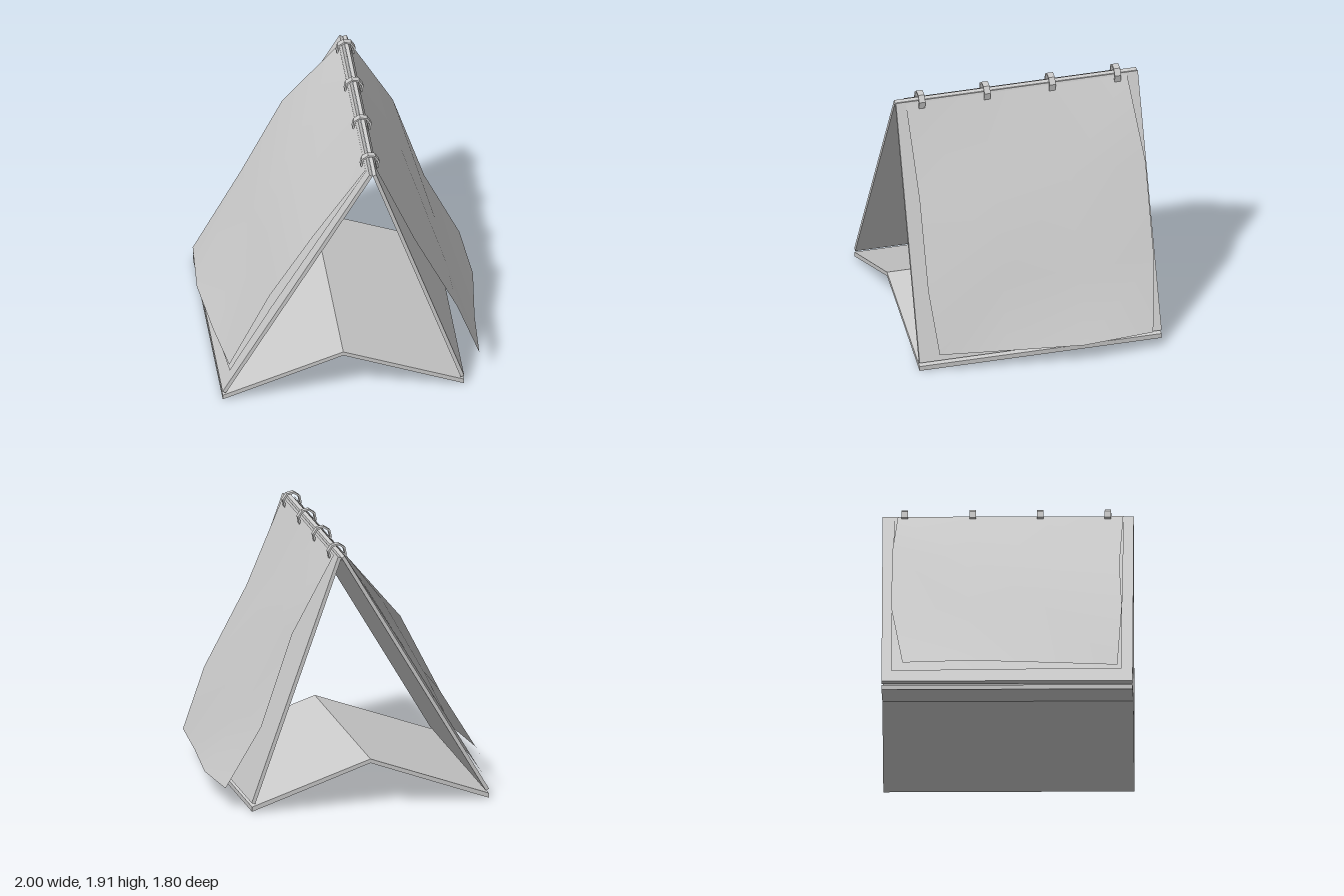
import * as THREE from 'three';

const mat = new THREE.MeshStandardMaterial({ color: 0xcccccc });
const paper = new THREE.MeshStandardMaterial({ color: 0xcccccc, side: THREE.DoubleSide });
const HALF = 0.9; // half the depth of the stand

// Extrude an outline along z, centred on the given z
function slab(name, shape, depth, z = 0) {
  const geo = new THREE.ExtrudeGeometry(shape, { depth, bevelEnabled: false });
  geo.translate(0, 0, z - depth / 2);
  const mesh = new THREE.Mesh(geo, mat);
  mesh.name = name;
  return mesh;
}

const outline = (pts) => new THREE.Shape(pts.map(([x, y]) => new THREE.Vector2(x, y)));

// Straight board between two points of the side profile
function board(name, [ax, ay], [bx, by], t) {
  const len = Math.hypot(bx - ax, by - ay);
  const nx = (-(by - ay) / len) * (t / 2), ny = ((bx - ax) / len) * (t / 2);
  return slab(name, outline([
    [ax - nx, ay - ny], [bx - nx, by - ny], [bx + nx, by + ny], [ax + nx, ay + ny],
  ]), HALF * 2);
}

// Loose page: a 4 x 4 grid between its front and back edges, with a curled lower edge
function page(name, front, back, bottom, flip) {
  const pos = [], index = [];
  for (let r = 0; r < 4; r++) {
    for (let c = 0; c < 4; c++) {
      const p = new THREE.Vector3(...front[r]).lerp(new THREE.Vector3(...back[r]), c / 3);
      if (r === 3 && (c === 1 || c === 2)) p.set(...bottom[c - 1]);
      pos.push(p.x, p.y, p.z);
      if (r < 3 && c < 3) {
        const a = r * 4 + c, b = a + 1, d = a + 4, e = a + 5;
        index.push(...(flip ? [a, b, d, b, e, d] : [a, d, b, b, d, e]));
      }
    }
  }
  const geo = new THREE.BufferGeometry();
  geo.setAttribute('position', new THREE.Float32BufferAttribute(pos, 3));
  geo.setIndex(index);
  geo.computeVertexNormals();
  const mesh = new THREE.Mesh(geo, paper);
  mesh.name = name;
  return mesh;
}

export function createModel() {
  const model = new THREE.Group();
  model.name = 'flipCalendar';

  // Folded base and the two leaning boards
  model.add(slab('base', outline([
    [-0.95, 0], [-0.08, 0.31], [0.79, 0], [0.79, 0.035], [-0.08, 0.34], [-0.95, 0.035],
  ]), HALF * 2));
  model.add(board('rightBoard', [-0.94, 0.06], [0.12, 1.85], 0.027));
  model.add(board('leftBoard', [0.78, 0.06], [0.145, 1.85], 0.027));

  // Octagonal binding rings
  const polygon = (r) => Array.from({ length: 8 }, (_, i) => {
    const a = (i * Math.PI) / 4 + 0.19;
    return [0.132 + r * Math.cos(a), 1.845 + r * Math.sin(a)];
  });
  for (const z of [0.715, 0.23, -0.255, -0.74]) {
    const shape = outline(polygon(0.071));
    shape.holes.push(outline(polygon(0.057)));
    model.add(slab('ring', shape, 0.046, z));
  }

  // Pages: one on the left face, two on the right face
  model.add(page('leftPage',
    [[0.17, 1.845, 0.83], [0.445, 1.21, 0.805], [0.75, 0.62, 0.825], [0.915, 0.18, 0.785]],
    [[0.17, 1.845, -0.815], [0.488, 1.29, -0.865], [0.715, 0.615, -0.865], [0.96, 0.155, -0.79]],
    [[0.94, 0.155, 0.29], [0.995, 0.145, -0.27]]));
  model.add(page('rightUpperPage',
    [[0.09, 1.85, 0.825], [-0.28, 1.3, 0.8], [-0.6, 0.82, 0.82], [-0.89, 0.22, 0.79]],
    [[0.09, 1.85, -0.79], [-0.315, 1.37, -0.83], [-0.61, 0.79, -0.83], [-0.97, 0.205, -0.75]],
    [[-0.95, 0.21, 0.3], [-1.0, 0.205, -0.25]], true));
  model.add(page('rightLowerPage',
    [[0.095, 1.845, 0.83], [-0.25, 1.275, 0.825], [-0.585, 0.72, 0.82], [-0.89, 0.19, 0.82]],
    [[0.095, 1.845, -0.815], [-0.255, 1.275, -0.825], [-0.58, 0.73, -0.83], [-0.92, 0.16, -0.83]],
    [[-0.925, 0.17, 0.28], [-0.95, 0.155, -0.28]], true));
  return model;
}
